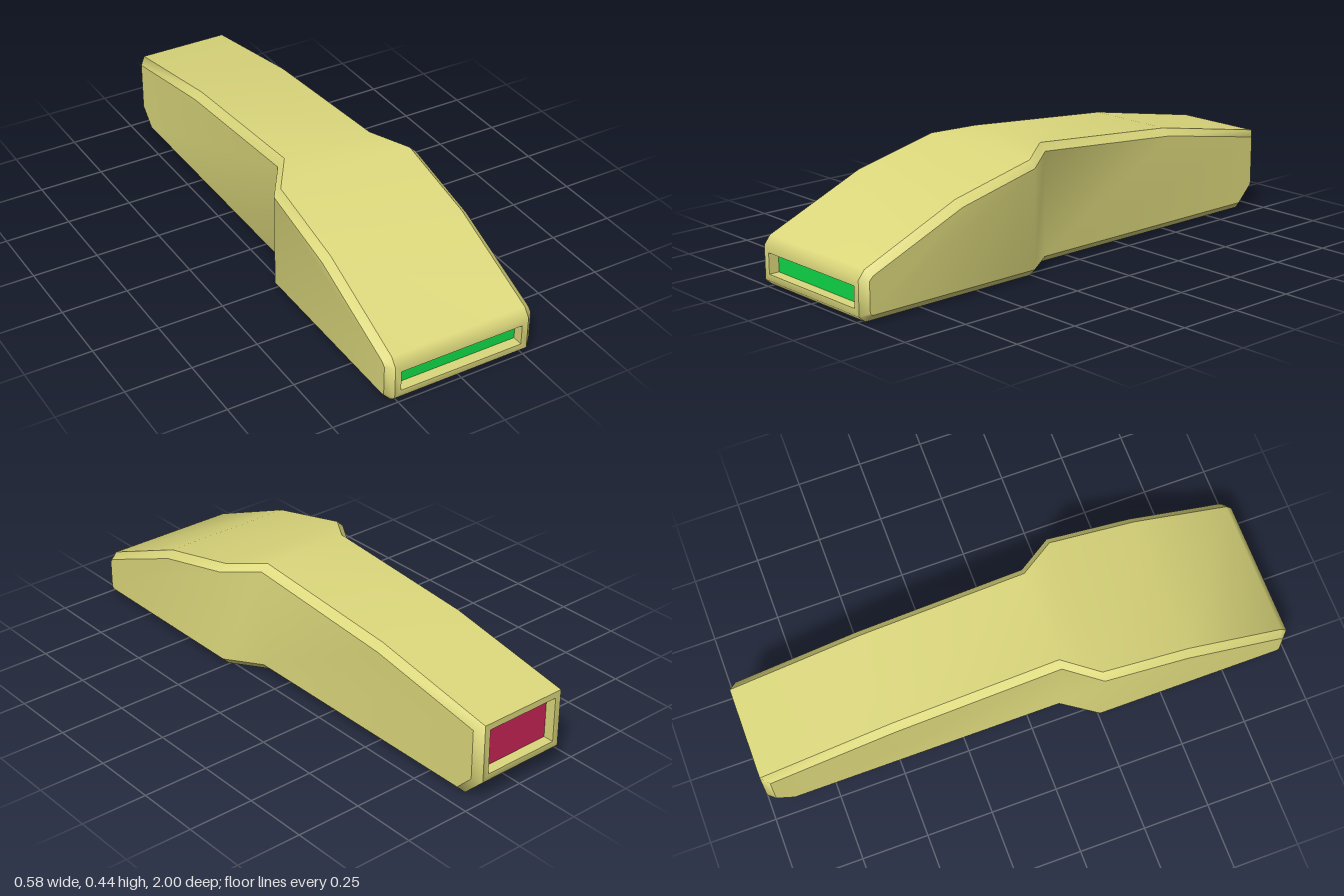
import * as THREE from 'three';
import { toCreasedNormals } from 'three/addons/utils/BufferGeometryUtils.js';

// Side profile [z, y]: from the nose over the top to the rear, then back underneath
const RIM = [
  [1, 0.147], [0.975, 0.178], [0.59, 0.34], [0.255, 0.417], [0.125, 0.44], [-0.5, 0.39], [-1, 0.3],
  [-1, 0.08], [-0.92, 0], [0.125, 0], [0.255, 0], [0.975, 0], [1, 0.022],
];
// The same profile drawn in by the bevel: the outline of the side walls
const INSET = [
  [0.975, 0.145], [0.96, 0.16], [0.58, 0.316], [0.255, 0.391], [0.125, 0.413], [-0.505, 0.363], [-0.972, 0.281],
  [-0.972, 0.092], [-0.908, 0.027], [0.125, 0.027], [0.255, 0.027], [0.965, 0.027], [0.975, 0.035],
];
const BEVEL = 0.027;
const MARGIN = 0.024;
const DEPTH = 0.04;
const NOSE = RIM.length - 1; // profile segment holding the front opening
const REAR = 6; // profile segment holding the rear opening

// Narrow grip behind, wide head in front
const halfWidth = (z) => THREE.MathUtils.mapLinear(THREE.MathUtils.clamp(z, 0.125, 0.255), 0.125, 0.255, 0.202, 0.291);
const rimPoint = (i, s) => {
  const [z, y] = RIM[i % RIM.length];
  return [s * (halfWidth(z) - BEVEL), y, z];
};
const sidePoint = (i, s) => {
  const [z, y] = INSET[i % INSET.length];
  return [s * halfWidth(z), y, z];
};

// Convex polygon, corners counter-clockwise from outside
function addFace(out, points, flip = false) {
  const p = flip ? [...points].reverse() : points;
  for (let k = 1; k < p.length - 1; k++) out.push(...p[0], ...p[k], ...p[k + 1]);
}

function makeMesh(name, positions, color, crease = Math.PI / 3) {
  const geometry = new THREE.BufferGeometry();
  geometry.setAttribute('position', new THREE.Float32BufferAttribute(positions, 3));
  const mesh = new THREE.Mesh(toCreasedNormals(geometry, crease), new THREE.MeshStandardMaterial({ color }));
  mesh.name = name;
  return mesh;
}

// Framed recess in an end face; returns the corners of its floor
function addRecess(out, corners) {
  const midY = (corners[0][1] + corners[1][1]) / 2;
  const hole = corners.map(([x, y, z]) => [x - Math.sign(x) * MARGIN, y - Math.sign(y - midY) * MARGIN, z]);
  const floor = hole.map(([x, y, z]) => [x, y, z - Math.sign(z) * DEPTH]);
  for (let k = 0; k < 4; k++) {
    const n = (k + 1) % 4;
    addFace(out, [corners[k], corners[n], hole[n], hole[k]]);
    addFace(out, [hole[k], hole[n], floor[n], floor[k]]);
  }
  return floor;
}

export function createModel() {
  const group = new THREE.Group();
  group.name = 'handheldDevice';
  const shellColor = 0xdcd87c;

  // Top, bottom and ends, with a recess at each end
  const shell = [];
  const floors = {};
  for (let i = 0; i < RIM.length; i++) {
    const corners = [rimPoint(i, 1), rimPoint(i + 1, 1), rimPoint(i + 1, -1), rimPoint(i, -1)];
    if (i === NOSE || i === REAR) floors[i] = addRecess(shell, corners);
    else addFace(shell, corners);
  }
  group.add(makeMesh('shell', shell, shellColor));

  // Bevels and side walls, mirrored
  for (const s of [1, -1]) {
    const bevel = [];
    const wall = [];
    for (let i = 0; i < RIM.length; i++) {
      addFace(bevel, [sidePoint(i, s), sidePoint(i + 1, s), rimPoint(i + 1, s), rimPoint(i, s)], s < 0);
    }
    // Head, shoulder and grip sections of the wall
    for (const ids of [[0, 1, 2, 3, 10, 11, 12], [3, 4, 9, 10], [4, 5, 6, 7, 8, 9]]) {
      addFace(wall, ids.map((i) => sidePoint(i, s)), s > 0);
    }
    const side = s > 0 ? 'left' : 'right';
    group.add(makeMesh(side + 'Bevel', bevel, shellColor), makeMesh(side + 'Wall', wall, shellColor));
  }

  // Coloured panels on the recess floors
  for (const [name, i, color] of [['frontPanel', NOSE, 0x10d848], ['rearPanel', REAR, 0xc82456]]) {
    const panel = [];
    addFace(panel, floors[i]);
    group.add(makeMesh(name, panel, color));
  }
  return group;
}
